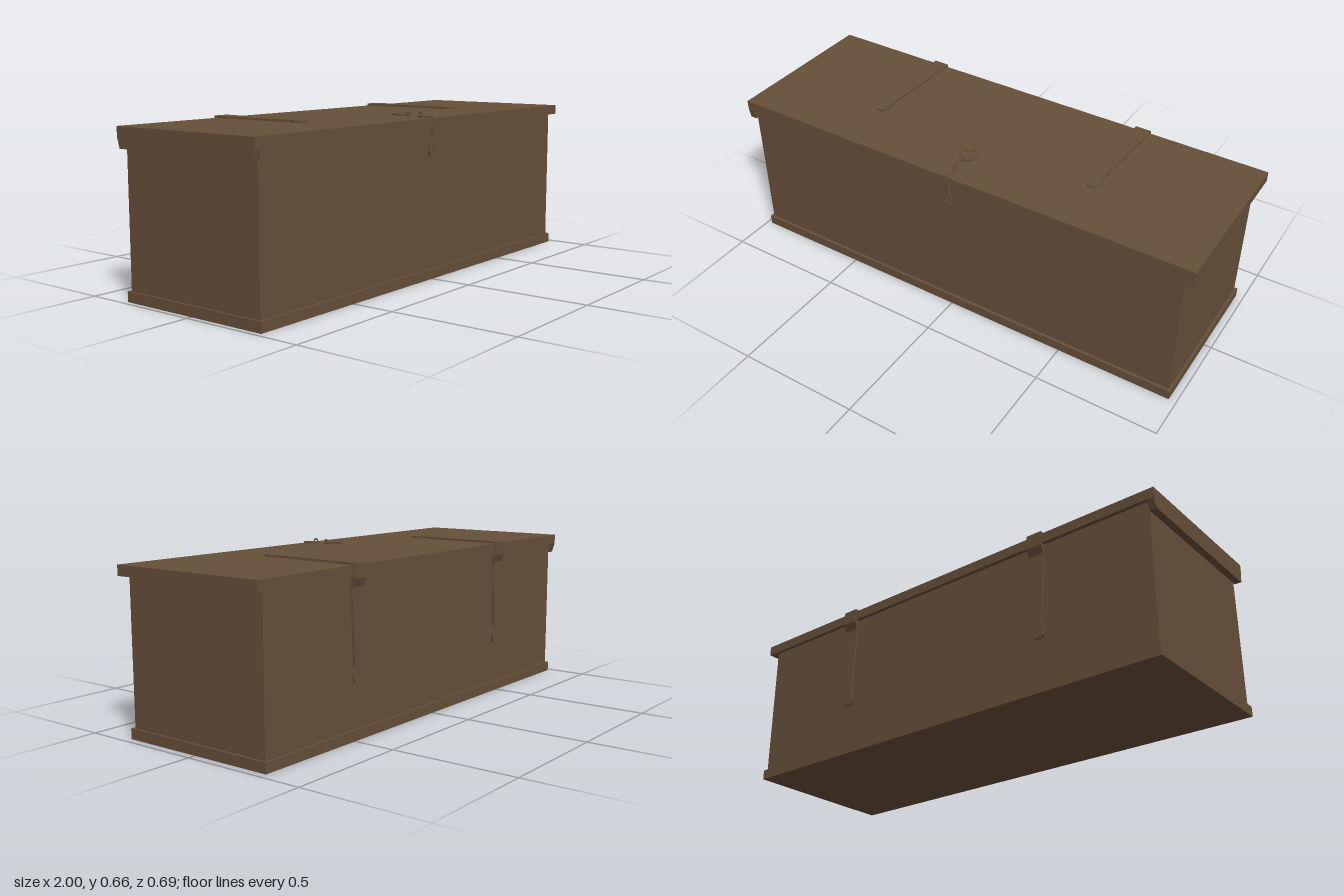
import * as THREE from 'three';

export function createModel() {
  const chest = new THREE.Group();
  chest.name = 'chest';
  const brown = new THREE.MeshStandardMaterial({ color: 0x664f3a });
  brown.name = 'dark brown';

  const add = (name, geo, parent = chest) => {
    const mesh = new THREE.Mesh(geo, brown);
    mesh.name = name;
    parent.add(mesh);
    return mesh;
  };
  // Box given by its limits on each axis
  const box = (name, x0, x1, y0, y1, z0, z1, parent) => {
    const mesh = add(name, new THREE.BoxGeometry(x1 - x0, y1 - y0, z1 - z0), parent);
    mesh.position.set((x0 + x1) / 2, (y0 + y1) / 2, (z0 + z1) / 2);
    return mesh;
  };
  // Mirrored outline of [half width, distance] pairs, as a flat plate hanging down -y
  const plate = (outline, depth) => {
    const right = outline.map(([w, d]) => new THREE.Vector2(w, -d));
    const left = outline.map(([w, d]) => new THREE.Vector2(-w, -d)).reverse();
    return new THREE.ExtrudeGeometry(new THREE.Shape([...right, ...left]), { depth, bevelEnabled: false });
  };
  // Profile in z and y, extruded along x from x0 to x1
  const alongX = (points, x0, x1) => {
    const shape = new THREE.Shape(points.map(([z, y]) => new THREE.Vector2(-z, y)));
    const geo = new THREE.ExtrudeGeometry(shape, { depth: x1 - x0, bevelEnabled: false });
    return geo.rotateY(Math.PI / 2).translate(x0, 0, 0);
  };

  // Wooden case
  box('base', -0.98, 0.97, 0, 0.04, -0.333, 0.33);
  box('body', -0.97, 0.96, 0.04, 0.602, -0.322, 0.318);
  box('lid', -1, 1, 0.6, 0.64, -0.338, 0.333);
  add('lidEndLip', alongX([[-0.338, 0.6], [-0.325, 0.56], [0.325, 0.56], [0.333, 0.6]], -1, -0.972));

  // Two long strap hinges, each folded over the back edge of the lid
  const strap = (length) => [
    [0.033, 0], [0.03, 0.08], [0.016, length - 0.06], [0.024, length - 0.035],
    [0.022, length - 0.012], [0.014, length],
  ];
  for (const x of [-0.49, 0.48]) {
    const hinge = new THREE.Group();
    hinge.name = 'hinge';
    hinge.position.x = x;
    chest.add(hinge);
    const top = add('hingeTopStrap', plate(strap(0.443), 0.01), hinge);
    top.rotation.x = -Math.PI / 2;
    top.position.set(0, 0.639, -0.343);
    const back = add('hingeBackStrap', plate(strap(0.375), 0.01), hinge);
    back.position.set(0, 0.59, -0.331);
    add('hingeKnuckle', alongX([
      [-0.335, 0.649], [-0.343, 0.647], [-0.343, 0.592], [-0.331, 0.56], [-0.321, 0.56], [-0.321, 0.6], [-0.335, 0.6],
    ], -0.033, 0.033), hinge);
  }

  // Hasp folded over the front edge, with its staples and pull ring
  const hasp = new THREE.Group();
  hasp.name = 'hasp';
  hasp.position.x = -0.007;
  chest.add(hasp);
  const topHasp = add('haspTopStrap', plate([[0.004, 0], [0.012, 0.03], [0.011, 0.045], [0.004, 0.075]], 0.007), hasp);
  topHasp.rotation.x = -Math.PI / 2;
  topHasp.position.set(0, 0.64, 0.259);
  add('haspFold', alongX([
    [0.325, 0.647], [0.335, 0.645], [0.335, 0.6], [0.328, 0.565], [0.318, 0.565], [0.318, 0.6], [0.325, 0.62],
  ], -0.005, 0.005), hasp);
  const frontHasp = add('haspFrontStrap',
    plate([[0.005, 0], [0.006, 0.04], [0.014, 0.06], [0.015, 0.095], [0.008, 0.11]], 0.008), hasp);
  frontHasp.position.set(0, 0.6, 0.319);

  for (const [y, z] of [[0.651, 0.272], [0.65, 0.215], [0.525, 0.332]]) {
    const staple = add('staple', new THREE.TorusGeometry(0.0095, 0.0032, 6, 8).rotateY(Math.PI / 2), hasp);
    staple.position.set(0, y, z);
  }
  const ring = add('pullRing', new THREE.TorusGeometry(0.034, 0.004, 6, 16).rotateX(Math.PI / 2), hasp);
  ring.position.set(0, 0.649, 0.177);

  return chest;
}
